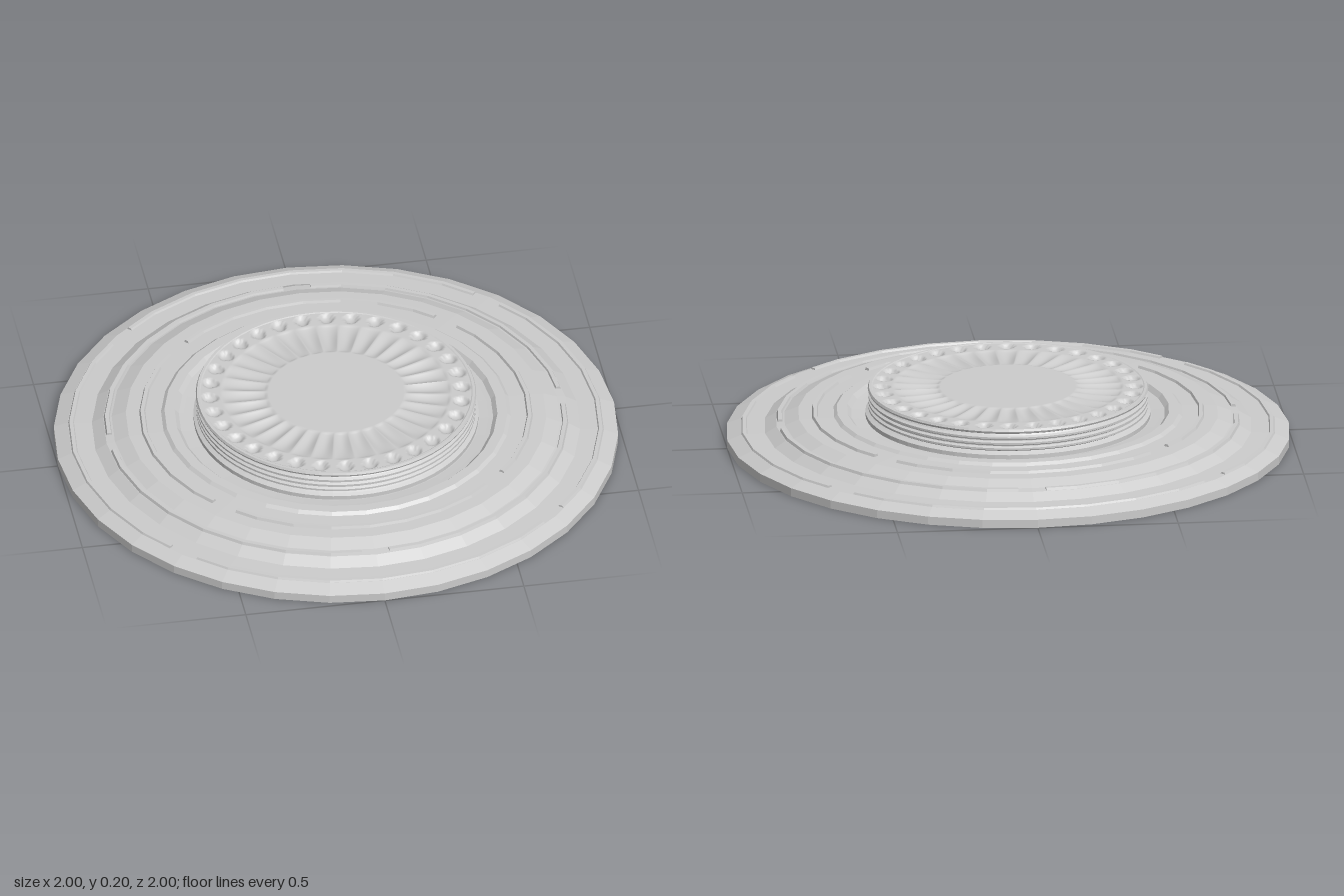
import * as THREE from 'three';

const SIDES = 32;
const material = new THREE.MeshStandardMaterial({ color: 0xcccccc, flatShading: true });
const thinMaterial = new THREE.MeshStandardMaterial({ color: 0xcccccc, flatShading: true, side: THREE.DoubleSide });

function lathe(name, profile, sides) {
  const points = profile.map(([r, y]) => new THREE.Vector2(r, y));
  const mesh = new THREE.Mesh(new THREE.LatheGeometry(points, sides), material);
  mesh.name = name;
  return mesh;
}

// Quarter-ring rib following the polygon of the base, shortened at both ends
function ribArc(name, r0, r1, y, top, startAngle, trim) {
  const bevel = 0.005;
  const points = [[r1, y], [r1 - bevel, top], [r0 + bevel, top], [r0, y]].map(([a, b]) => new THREE.Vector2(a, b));
  const segs = SIDES / 4, n = points.length;
  const geo = new THREE.LatheGeometry(points, segs, startAngle, Math.PI / 2);
  const pos = geo.attributes.position;
  const a = new THREE.Vector3(), b = new THREE.Vector3();
  for (const [end, next] of [[0, 1], [segs, segs - 1]]) {
    for (let j = 0; j < n; j++) {
      a.fromBufferAttribute(pos, end * n + j);
      b.fromBufferAttribute(pos, next * n + j);
      a.lerp(b, trim);
      pos.setXYZ(end * n + j, a.x, a.y, a.z);
    }
  }
  const s = segs * n;
  geo.setIndex([...geo.index.array, 0, 1, 2, 0, 2, 3, s, s + 2, s + 1, s, s + 3, s + 2]);
  geo.computeVertexNormals();
  const mesh = new THREE.Mesh(geo, thinMaterial);
  mesh.name = name;
  return mesh;
}

// Height of the carved top: plain centre, ring of flutes, ring of teardrop hollows
function topHeight(r, angle) {
  const step = (Math.PI * 2) / SIDES;
  const u = angle / step - Math.floor(angle / step) - 0.5;
  let y = 0.198;
  if (r > 0.245 && r < 0.405) {
    const along = Math.sin(((r - 0.245) / 0.16) * Math.PI);
    y -= 0.012 * Math.sqrt(along) * Math.max(0, Math.cos(u * Math.PI));
  }
  const across = u * step * r;
  const out = r - 0.45;
  const width = out < 0 ? 0.025 * (1 + out * 6) : 0.025;
  const d = Math.hypot(across / width, out / (out < 0 ? 0.033 : 0.025));
  if (d < 1) y -= 0.016 * Math.sqrt(1 - d * d);
  return y;
}

function carvedTop() {
  const geo = new THREE.RingGeometry(0.24, 0.482, SIDES * 12, 48);
  geo.rotateX(-Math.PI / 2);
  const pos = geo.attributes.position;
  for (let i = 0; i < pos.count; i++) {
    const x = pos.getX(i), z = pos.getZ(i);
    const angle = Math.atan2(x, z) + Math.PI * 2;
    pos.setY(i, topHeight(Math.hypot(x, z), angle));
  }
  geo.computeVertexNormals();
  const mesh = new THREE.Mesh(geo, new THREE.MeshStandardMaterial({ color: 0xcccccc }));
  mesh.name = 'carvedTop';
  return mesh;
}

export function createModel() {
  const model = new THREE.Group();
  model.name = 'ornamentalDisc';

  // Wide stepped base with a trough around the drum
  model.add(lathe('base', [
    [0, 0], [1, 0], [1, 0.03], [0.95, 0.05], [0.865, 0.052], [0.825, 0.076],
    [0.795, 0.08], [0.745, 0.1], [0.62, 0.104], [0.608, 0.114], [0.572, 0.114],
    [0.557, 0.098], [0.54, 0.096], [0.51, 0.093], [0.4, 0.093],
  ], SIDES));

  // Three rings of raised ribs with staggered gaps
  const ribs = new THREE.Group();
  ribs.name = 'ribs';
  const rings = [
    ['outerRib', 0.927, 0.95, 0.048, 0.057, -Math.PI / 4, 0.31],
    ['middleRib', 0.8, 0.824, 0.074, 0.086, 0, 0.31],
    ['innerRib', 0.675, 0.698, 0.1, 0.111, -Math.PI / 4, 0.37],
  ];
  for (const [name, r0, r1, y, top, start, trim] of rings) {
    for (let q = 0; q < 4; q++) ribs.add(ribArc(name, r0, r1, y, top, start + q * Math.PI / 2, trim));
  }
  model.add(ribs);

  // Drum with stacked mouldings on its side
  const drum = [[0.505, 0.09], [0.505, 0.108], [0.493, 0.114]];
  for (let i = 0; i < 3; i++) {
    const y = 0.118 + i * 0.02;
    drum.push([0.486, y], [0.495, y + 0.005], [0.495, y + 0.012], [0.486, y + 0.017]);
  }
  drum.push([0.482, 0.18], [0.494, 0.185], [0.497, 0.192], [0.493, 0.2], [0.484, 0.2], [0.48, 0.198]);
  model.add(lathe('drum', drum, SIDES * 2));

  // Carved top and plain central disc
  model.add(carvedTop());
  const centre = new THREE.Mesh(new THREE.CircleGeometry(0.24, SIDES * 12), material);
  centre.rotation.x = -Math.PI / 2;
  centre.position.y = 0.198;
  centre.name = 'centreDisc';
  model.add(centre);

  return model;
}
